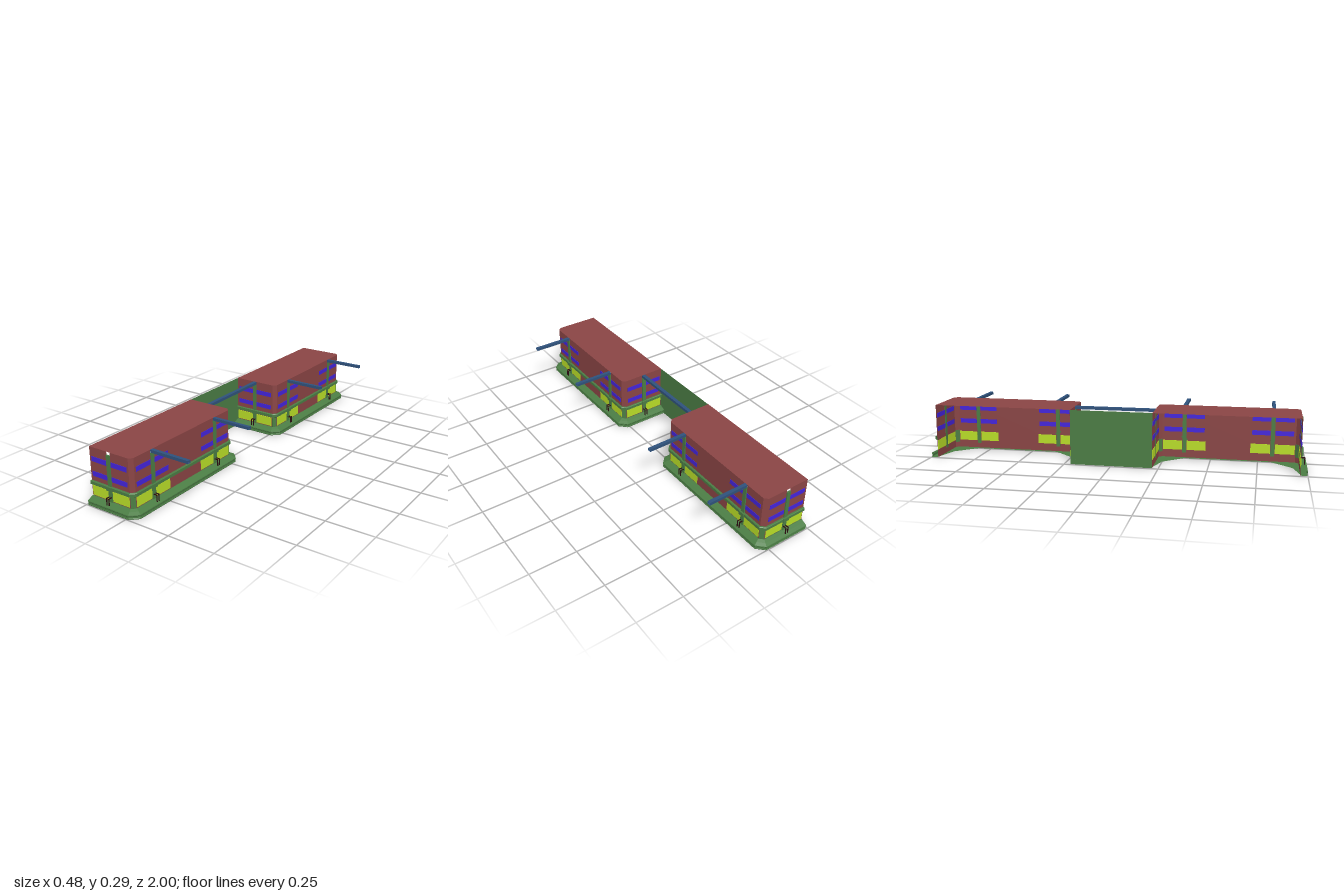
import * as THREE from 'three';

const paint = (color) => new THREE.MeshStandardMaterial({ color, side: THREE.DoubleSide, flatShading: true });
const RED = paint(0x8a4545), GREEN = paint(0x4b7d44), YELLOW = paint(0xb9de28);
const BLUE = paint(0x4424dc), STEEL = paint(0x2f527c), IRON = paint(0x2c0a10);

const BACK = -0.24, FRONT = 0.018, HALF = 0.373, CUT = 0.018; // wall plan of one block
const TOP = 0.29, NOTCH = 0.275, PW = 0.0105;                 // heights, half pilaster width

function add(parent, name, geometry, material, x = 0, y = 0, z = 0) {
  const mesh = new THREE.Mesh(geometry, material);
  mesh.name = name;
  mesh.position.set(x, y, z);
  parent.add(mesh);
  return mesh;
}

// Box given by its limits
function box(parent, name, material, x0, x1, y0, y1, z0, z1) {
  return add(parent, name, new THREE.BoxGeometry(x1 - x0, y1 - y0, z1 - z0), material,
    (x0 + x1) / 2, (y0 + y1) / 2, (z0 + z1) / 2);
}

const flat = (points) => new THREE.ShapeGeometry(new THREE.Shape(points.map((p) => new THREE.Vector2(...p))));

// Wall plan pushed outward by d, as [x, z]; open at the back
function plan(d) {
  const k = d * Math.tan(Math.PI / 8);
  const half = [[BACK, HALF + d], [FRONT - CUT + k, HALF + d], [FRONT + d, HALF - CUT + k]];
  return [...half, ...half.map(([x, z]) => [x, -z]).reverse()];
}

// Moulding: a profile of [offset, height] carried round the plan
function moulding(profile) {
  const rings = profile.map(([d, y]) => plan(d).map(([x, z]) => [x, y, z]));
  const pos = [];
  for (let i = 0; i < rings.length - 1; i++) {
    for (let j = 0; j < rings[i].length - 1; j++) {
      const a = rings[i][j], b = rings[i][j + 1], c = rings[i + 1][j + 1], d = rings[i + 1][j];
      pos.push(...a, ...b, ...c, ...a, ...c, ...d);
    }
  }
  const g = new THREE.BufferGeometry();
  g.setAttribute('position', new THREE.Float32BufferAttribute(pos, 3));
  g.computeVertexNormals();
  return g;
}

// Square tube with open ends, lying along z
function squareTube(width, height, length) {
  const r = Math.SQRT1_2;
  return new THREE.CylinderGeometry(r, r, length, 4, 1, true)
    .rotateY(Math.PI / 4).rotateX(Math.PI / 2).scale(width, height, 1);
}

// One facade, facing local +z, notched above every pilaster
function facade(name, u0, u1, pilasters, withPoles) {
  const g = new THREE.Group();
  g.name = name;
  const outline = [[u0, 0], [u1, 0], [u1, TOP]];
  for (const p of [...pilasters].reverse()) {
    outline.push([p + PW, TOP], [p + PW, NOTCH], [p - PW, NOTCH], [p - PW, TOP]);
  }
  outline.push([u0, TOP]);
  add(g, 'wall', flat(outline), RED);

  for (const p of pilasters) {
    box(g, 'pilaster', GREEN, p - PW, p + PW, 0.028, NOTCH, -0.002, 0.006);
    box(g, 'corniceBlock', GREEN, p - 0.016, p + 0.016, 0.098, 0.118, 0, 0.014);
    for (const s of [-1, 1]) {
      const pane = (title, mat, far, y0, y1) => {
        const a = p + s * 0.0125, b = p + s * far;
        box(g, title, mat, Math.min(a, b), Math.max(a, b), y0, y1, -0.002, 0.002);
      };
      pane('shopWindow', YELLOW, 0.116, 0.043, 0.094);
      pane('lowerWindowStrip', BLUE, 0.109, 0.143, 0.168);
      pane('upperWindowStrip', BLUE, 0.109, 0.218, 0.243);
      // Bent handrail
      const h = p + s * 0.007;
      box(g, 'railArm', IRON, h - 0.002, h + 0.002, 0.062, 0.066, 0.004, 0.026);
      box(g, 'railPost', IRON, h - 0.002, h + 0.002, 0.028, 0.066, 0.022, 0.026);
    }
    if (withPoles) add(g, 'pole', squareTube(0.018, TOP - NOTCH, 0.219), STEEL, p, (TOP + NOTCH) / 2, 0.1095);
  }
  return g;
}

function block() {
  const g = new THREE.Group();
  g.name = 'block';

  // Roof
  add(g, 'roof', flat(plan(0)).rotateX(Math.PI / 2), RED, 0, TOP, 0);

  // Plinth and cornice
  add(g, 'plinth', moulding([[0.034, 0], [0.036, 0.004], [0.034, 0.008], [0.034, 0.016], [0.037, 0.02],
    [0.036, 0.024], [0.02, 0.032], [0.004, 0.039], [0, 0.039]]), GREEN);
  add(g, 'cornice', moulding([[0, 0.096], [0.007, 0.099], [0.01, 0.101], [0.01, 0.116], [0.007, 0.119], [0, 0.119]]), GREEN);

  // Floor rim with angled inner corners
  const inner = [[BACK, 0.38], [-0.1, 0.34], [0, 0.23]];
  const rim = [...plan(0.034), ...inner.map(([x, z]) => [x, -z]), ...inner.reverse()];
  add(g, 'floorRim', flat(rim).rotateX(Math.PI / 2), GREEN, 0, 0.001, 0);

  // Facades
  const front = facade('sideFacade', -(HALF - CUT), HALF - CUT, [-0.235, 0.235], true);
  front.position.x = FRONT;
  front.rotation.y = Math.PI / 2;
  const endA = facade('endFacade', BACK, FRONT - CUT, [-0.12], false);
  endA.position.z = HALF;
  const endB = facade('endFacade', CUT - FRONT, -BACK, [0.12], false);
  endB.position.z = -HALF;
  endB.rotation.y = Math.PI;
  g.add(front, endA, endB);

  // Cut corners with a green column at street level
  for (const s of [-1, 1]) {
    const corner = new THREE.Group();
    corner.name = 'cutCorner';
    const w = CUT * Math.SQRT1_2;
    add(corner, 'cornerWall', new THREE.PlaneGeometry(2 * w, TOP), RED, 0, TOP / 2, 0);
    box(corner, 'cornerColumn', GREEN, -w, w, 0.03, 0.1, -0.002, 0.003);
    corner.position.set(FRONT - CUT / 2, 0, s * (HALF - CUT / 2));
    corner.rotation.y = s > 0 ? Math.PI / 4 : Math.PI * 0.75;
    g.add(corner);
  }
  return g;
}

export function createModel() {
  const model = new THREE.Group();
  model.name = 'twinBuilding';
  for (const s of [-1, 1]) {
    const b = block();
    b.position.z = s * 0.59;
    model.add(b);
  }

  // Screen wall and beam joining the blocks
  const gap = 2 * (0.59 - HALF);
  add(model, 'screenWall', new THREE.PlaneGeometry(gap, TOP).rotateY(Math.PI / 2), GREEN, BACK + 0.001, TOP / 2, 0);
  add(model, 'linkBeam', squareTube(0.02, TOP - NOTCH, gap), STEEL, -0.12, (TOP + NOTCH) / 2, 0);
  return model;
}
